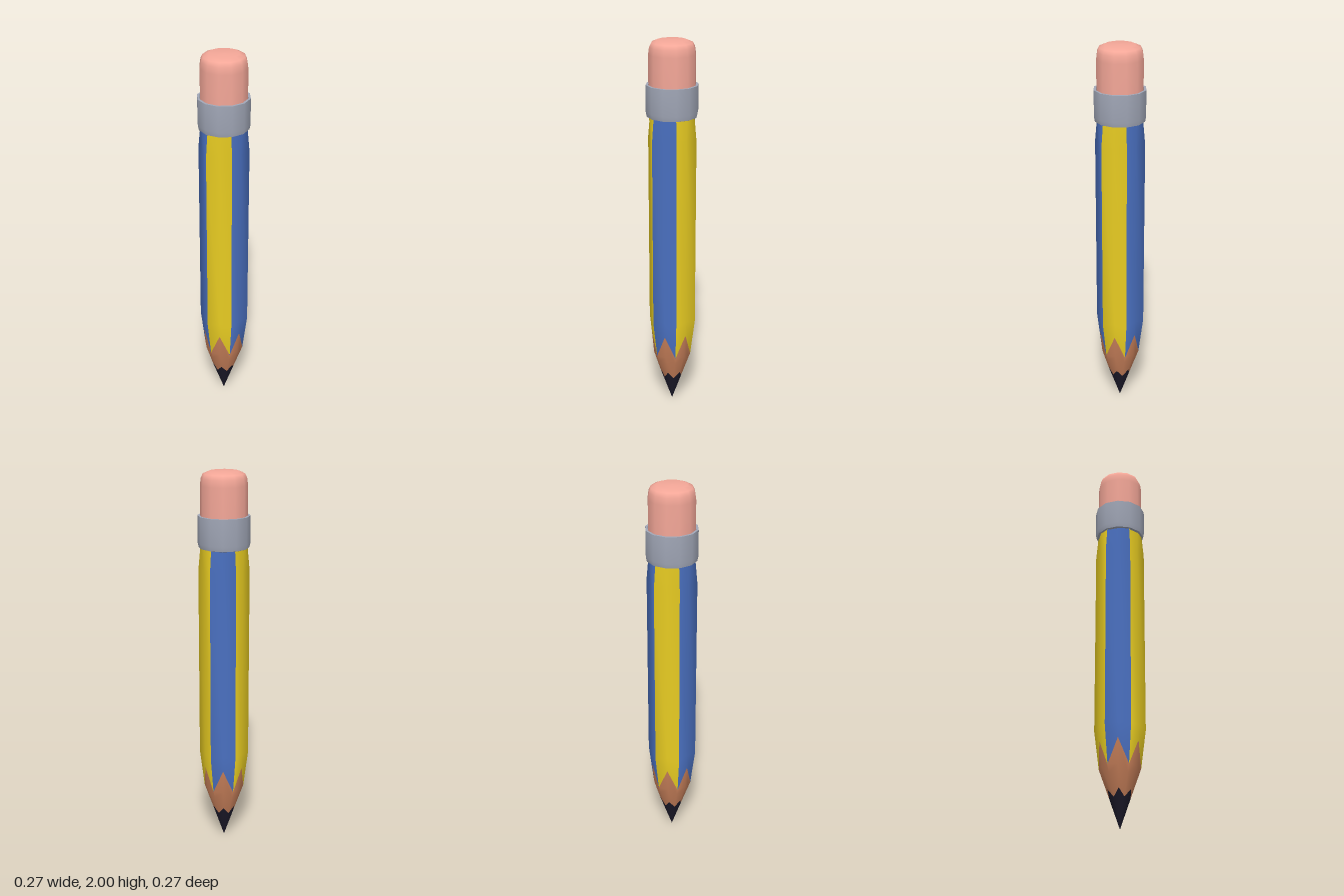
import * as THREE from 'three';
import { toCreasedNormals } from 'three/addons/utils/BufferGeometryUtils.js';

const SIDES = 12; // even columns are hexagon corners, odd columns are face centres

// [corner radius, corner y, face-centre radius, face-centre y], from the tip upward
const RINGS = [
  [0, 0, 0, 0],
  [0.052, 0.15, 0.066, 0.19],
  [0.091, 0.26, 0.1, 0.3],
  [0.105, 0.3, 0.112, 0.43],
  [0.13, 0.5, 0.1126, 0.51],
  [0.13, 1.5, 0.1126, 1.5],
  [0.117, 1.64, 0.117, 1.64],
];

// One smooth surface whose normals are shared by all the painted areas
function buildShaft() {
  const positions = [];
  for (const [cornerR, cornerY, faceR, faceY] of RINGS) {
    for (let j = 0; j < SIDES; j++) {
      const a = (j / SIDES) * Math.PI * 2;
      const [r, y] = j % 2 ? [faceR, faceY] : [cornerR, cornerY];
      positions.push(r * Math.cos(a), y, r * Math.sin(a));
    }
  }
  const geometry = new THREE.BufferGeometry();
  geometry.setAttribute('position', new THREE.Float32BufferAttribute(positions, 3));
  geometry.setIndex(quads(0, RINGS.length - 1, () => true));
  geometry.computeVertexNormals();
  return geometry;
}

// Triangles between two rings, for the columns that pass the test
function quads(from, to, test) {
  const index = [];
  for (let i = from; i < to; i++) {
    for (let j = 0; j < SIDES; j++) {
      if (!test(j)) continue;
      const a = i * SIDES + j;
      const b = i * SIDES + ((j + 1) % SIDES);
      index.push(a, a + SIDES, b + SIDES);
      if (i > 0) index.push(a, b + SIDES, b); // the tip ring is a single point
    }
  }
  return index;
}

function addMesh(group, name, geometry, color) {
  const mesh = new THREE.Mesh(geometry, new THREE.MeshStandardMaterial({ color }));
  mesh.name = name;
  group.add(mesh);
}

function lathe(points) {
  return new THREE.LatheGeometry(points.map(([r, y]) => new THREE.Vector2(r, y)), SIDES);
}

export function createModel() {
  const group = new THREE.Group();
  group.name = 'pencil';

  // Sharpened tip and striped hexagonal barrel
  const shaft = buildShaft();
  const addArea = (name, color, from, to, test = () => true) => {
    const area = new THREE.BufferGeometry();
    area.setAttribute('position', shaft.attributes.position);
    area.setAttribute('normal', shaft.attributes.normal);
    area.setIndex(quads(from, to, test));
    addMesh(group, name, area, color);
  };
  addArea('lead', 0x1c1a2a, 0, 1);
  addArea('sharpenedWood', 0xc8805a, 1, 3);
  const isBlue = (j) => Math.floor(j / 2) % 2 === 1;
  addArea('blueStripes', 0x4a70c0, 3, 6, isBlue);
  addArea('yellowStripes', 0xe8cc22, 3, 6, (j) => !isBlue(j));

  // Metal band with a small bevel underneath and a rim on top
  const band = lathe([
    [0.112, 1.615], [0.128, 1.62], [0.133, 1.645], [0.133, 1.78], [0.121, 1.78], [0.118, 1.765],
  ]);
  addMesh(group, 'metalBand', toCreasedNormals(band, 0.8), 0xa2a8b8);

  // Rounded eraser
  const eraser = lathe([
    [0.119, 1.74], [0.119, 1.93], [0.114, 1.965], [0.104, 1.986], [0.075, 1.998], [0, 2],
  ]);
  addMesh(group, 'eraser', eraser, 0xf4a798);

  return group;
}
